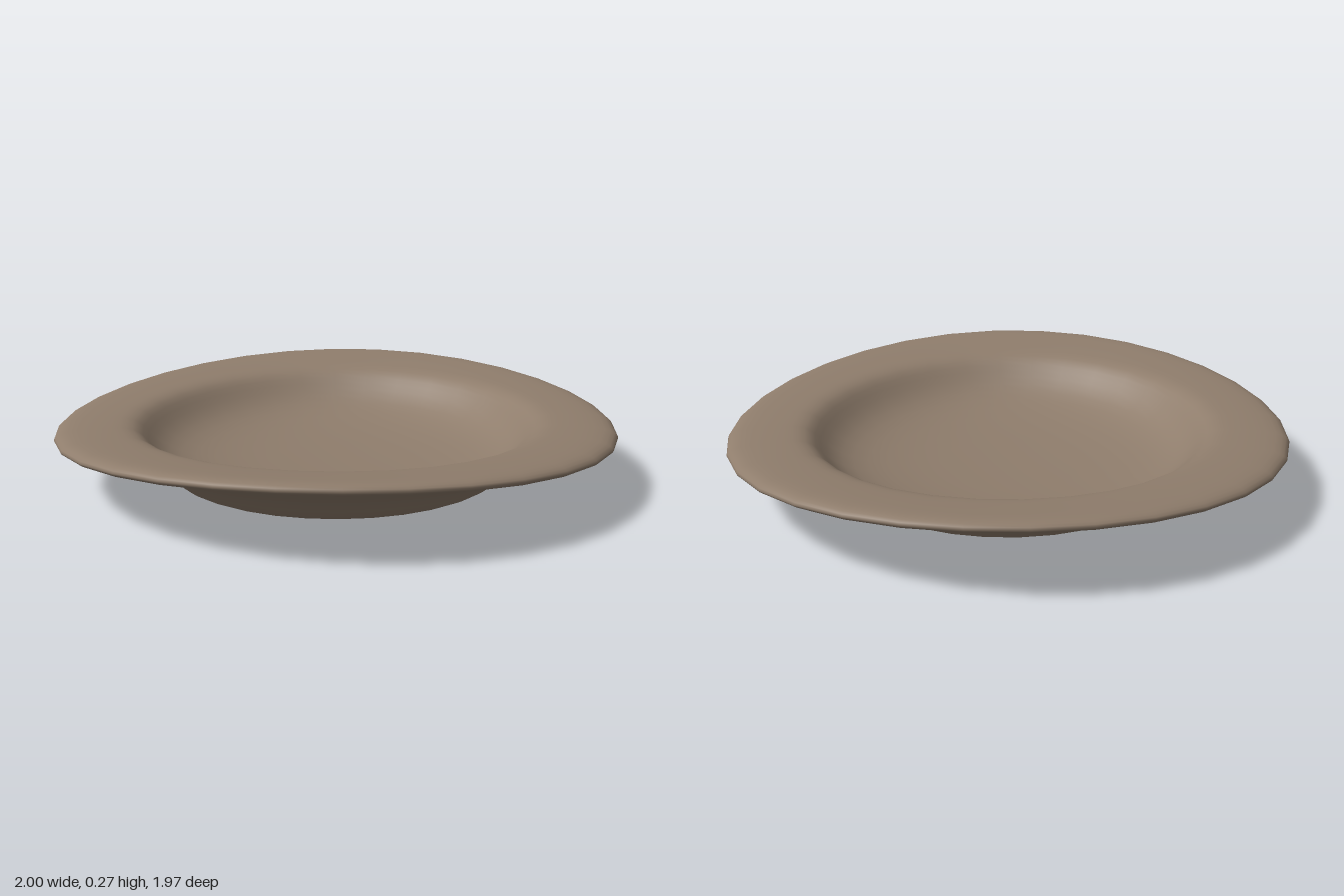
import * as THREE from 'three';
import { mergeVertices } from 'three/addons/utils/BufferGeometryUtils.js';

const clay = new THREE.MeshStandardMaterial({ color: 0x8f7d6c });
clay.name = 'brownClay';

// Cross-section [radius, height]: underside, rounded lip, flange, well
const SECTION = [
  [0, 0.003], [0.3, 0.005], [0.48, 0.01], [0.55, 0.02], [0.595, 0.045],
  [0.64, 0.085], [0.7, 0.125], [0.78, 0.163], [0.87, 0.19], [0.95, 0.204],
  [0.985, 0.211], [0.998, 0.224], [0.985, 0.238], [0.95, 0.246], [0.88, 0.245],
  [0.8, 0.24], [0.75, 0.234], [0.71, 0.218], [0.675, 0.185], [0.63, 0.143],
  [0.56, 0.105], [0.44, 0.077], [0.25, 0.06], [0, 0.055],
];

// Hand-made warp: a gentle saddle that grows towards the rim
function warp(geometry) {
  const p = geometry.attributes.position;
  for (let i = 0; i < p.count; i++) {
    const x = p.getX(i), z = p.getZ(i);
    const r2 = x * x + z * z;
    const lift = r2 * (-0.065 * x * z + 0.006 * (z * z - x * x));
    p.setXYZ(i, x, p.getY(i) + lift, z * 0.987);
  }
}

export function createModel() {
  const group = new THREE.Group();
  group.name = 'bowlPlate';

  const curve = new THREE.SplineCurve(SECTION.map(([r, y]) => new THREE.Vector2(r, y)));
  const profile = curve.getPoints((SECTION.length - 1) * 2);
  profile.forEach((v) => { v.x = Math.max(0, v.x); });

  let geometry = new THREE.LatheGeometry(profile, 32);
  warp(geometry);

  // Weld the seam so the shading stays smooth all round
  geometry.deleteAttribute('uv');
  geometry.deleteAttribute('normal');
  geometry = mergeVertices(geometry, 1e-4);
  geometry.computeVertexNormals();

  const plate = new THREE.Mesh(geometry, clay);
  plate.name = 'plate';
  group.add(plate);
  return group;
}
